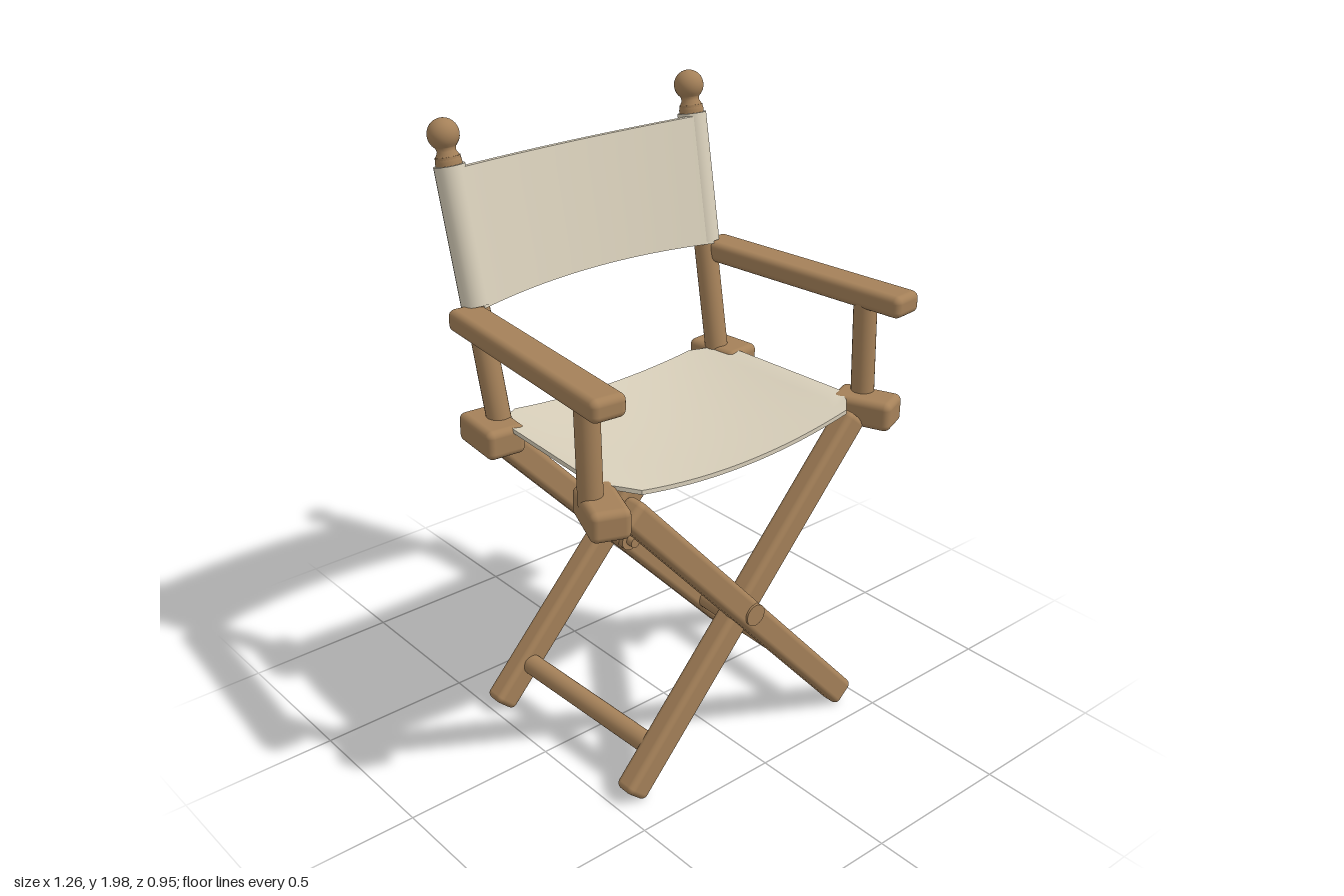
import * as THREE from 'three';
import { RoundedBoxGeometry } from 'three/addons/geometries/RoundedBoxGeometry.js';

const wood = new THREE.MeshStandardMaterial({ color: 0xa58159 });
wood.name = 'wood';
const canvas = new THREE.MeshStandardMaterial({ color: 0xd8cfba });
canvas.name = 'canvas';

const V = (x, y, z) => new THREE.Vector3(x, y, z);
const UP = V(0, 1, 0);

// Centre line of the leaning back post at height y, on side s
const postAt = (s, y) => V(s * (0.445 + 0.028 * (y - 1.05)), y, -0.24 - 0.21 * (y - 1.05));

export function createModel() {
  const model = new THREE.Group();
  model.name = 'foldingChair';

  function add(name, geometry, material, position) {
    const mesh = new THREE.Mesh(geometry, material);
    mesh.name = name;
    if (position) mesh.position.copy(position);
    model.add(mesh);
    return mesh;
  }

  // Lay a y-aligned geometry along the segment a-b
  function along(name, geometry, material, a, b) {
    const mesh = add(name, geometry, material, a.clone().add(b).multiplyScalar(0.5));
    mesh.quaternion.setFromUnitVectors(UP, b.clone().sub(a).normalize());
    return mesh;
  }

  const rod = (name, a, b, r, material = wood) =>
    along(name, new THREE.CylinderGeometry(r, r, a.distanceTo(b), 24), material, a, b);

  function block(name, w, h, d, position, yaw) {
    const mesh = add(name, new RoundedBoxGeometry(w, h, d, 4, 0.022), wood, position);
    mesh.rotation.y = yaw;
  }

  // Crossed legs: side is the side of the foot
  function leg(name, side, footX, z) {
    const foot = V(side * footX, 0.047, z), top = V(-side * 0.465, 1.055, z);
    along(name, new RoundedBoxGeometry(0.09, foot.distanceTo(top) + 0.01, 0.075, 4, 0.02), wood, foot, top);
  }
  leg('frontLegA', 1, 0.437, 0.393);
  leg('frontLegB', -1, 0.437, 0.358);
  leg('rearLegA', 1, 0.47, -0.225);
  leg('rearLegB', -1, 0.47, -0.29);

  // Pivot bolts where the legs cross
  rod('frontPivot', V(0, 0.545, 0.28), V(0, 0.545, 0.435), 0.018);
  rod('frontPivotCap', V(0, 0.545, 0.305), V(0, 0.545, 0.438), 0.036);
  rod('rearPivot', V(0, 0.545, -0.335), V(0, 0.545, -0.145), 0.018);
  rod('rearPivotCap', V(0, 0.545, -0.333), V(0, 0.545, -0.17), 0.036);

  // Turned finial profile
  const finial = [[0.038, -0.03], [0.04, 0.005], [0.036, 0.02], [0.028, 0.035], [0.03, 0.045]];
  for (let i = 0; i <= 12; i++) {
    const t = -0.85 + (i / 12) * (Math.PI / 2 + 0.85);
    finial.push([Math.max(0, 0.048 * Math.cos(t)), 0.084 + 0.048 * Math.sin(t)]);
  }
  const finialGeometry = new THREE.LatheGeometry(finial.map(([x, y]) => new THREE.Vector2(x, y)), 28);

  for (const s of [1, -1]) {
    const n = s > 0 ? 'left' : 'right';

    // Low stretcher between front and rear feet
    rod(n + 'Stretcher', V(s * 0.342, 0.165, s > 0 ? 0.39 : 0.36), V(s * 0.362, 0.165, s > 0 ? -0.22 : -0.29), 0.034);

    // Corner blocks at seat height
    block(n + 'FrontBlock', 0.12, 0.095, 0.2, V(s * 0.53, 1.063, 0.36), s * 0.38);
    block(n + 'RearBlock', 0.13, 0.095, 0.2, V(s * 0.475, 1.065, -0.25), s * 0.1);

    // Armrest and its front post
    block(n + 'Armrest', 0.113, 0.07, 0.81, V(s * 0.537, 1.425, 0.065), s * 0.1);
    rod(n + 'ArmPost', V(s * 0.545, 1.08, 0.33), V(s * 0.545, 1.41, 0.32), 0.037);

    // Back post, canvas sleeve and finial
    rod(n + 'BackPost', postAt(s, 1.04), postAt(s, 1.89), 0.038);
    rod(n + 'BackSleeve', postAt(s, 1.455), postAt(s, 1.865), 0.047, canvas);
    const knob = add(n + 'Finial', finialGeometry, wood, postAt(s, 1.87));
    knob.quaternion.setFromUnitVectors(UP, postAt(s, 2).sub(postAt(s, 1)).normalize());
  }

  // Bend a thin slab by a rule on u, v in -1..1 and thickness t in -1..1
  function sheet(name, nu, nv, rule) {
    const geometry = new THREE.BoxGeometry(2, 2, 2, nu, nv, 1);
    const p = geometry.attributes.position;
    for (let i = 0; i < p.count; i++) p.setXYZ(i, ...rule(p.getX(i), p.getY(i), p.getZ(i)));
    geometry.computeVertexNormals();
    add(name, geometry, canvas);
  }

  // Backrest curving rearwards between the posts
  sheet('backrest', 28, 6, (u, v, t) => {
    const y = 1.66 + v * (0.195 + 0.01 * u * u);
    const a = postAt(1, y);
    return [u * a.x, y, a.z - 0.012 + 0.05 * u * u + t * 0.007];
  });

  // Sagging seat with corners drawn in: half width by z
  const outline = [[-0.29, 0.36], [-0.25, 0.42], [-0.15, 0.465], [0.29, 0.49], [0.35, 0.45], [0.39, 0.41]];
  const halfWidth = (z) => {
    let i = 0;
    while (i < outline.length - 2 && z > outline[i + 1][0]) i++;
    const [z0, w0] = outline[i], [z1, w1] = outline[i + 1];
    return THREE.MathUtils.lerp(w0, w1, (z - z0) / (z1 - z0));
  };
  sheet('seat', 28, 34, (u, v, t) => {
    const z = 0.05 - 0.34 * v;
    const x = u * halfWidth(z);
    const mid = 1.042 + 0.018 * v * v + 0.006 * v;
    return [x, mid + (1.102 - mid) * Math.min(1, (x / 0.45) ** 2) + t * 0.007, z];
  });

  return model;
}
